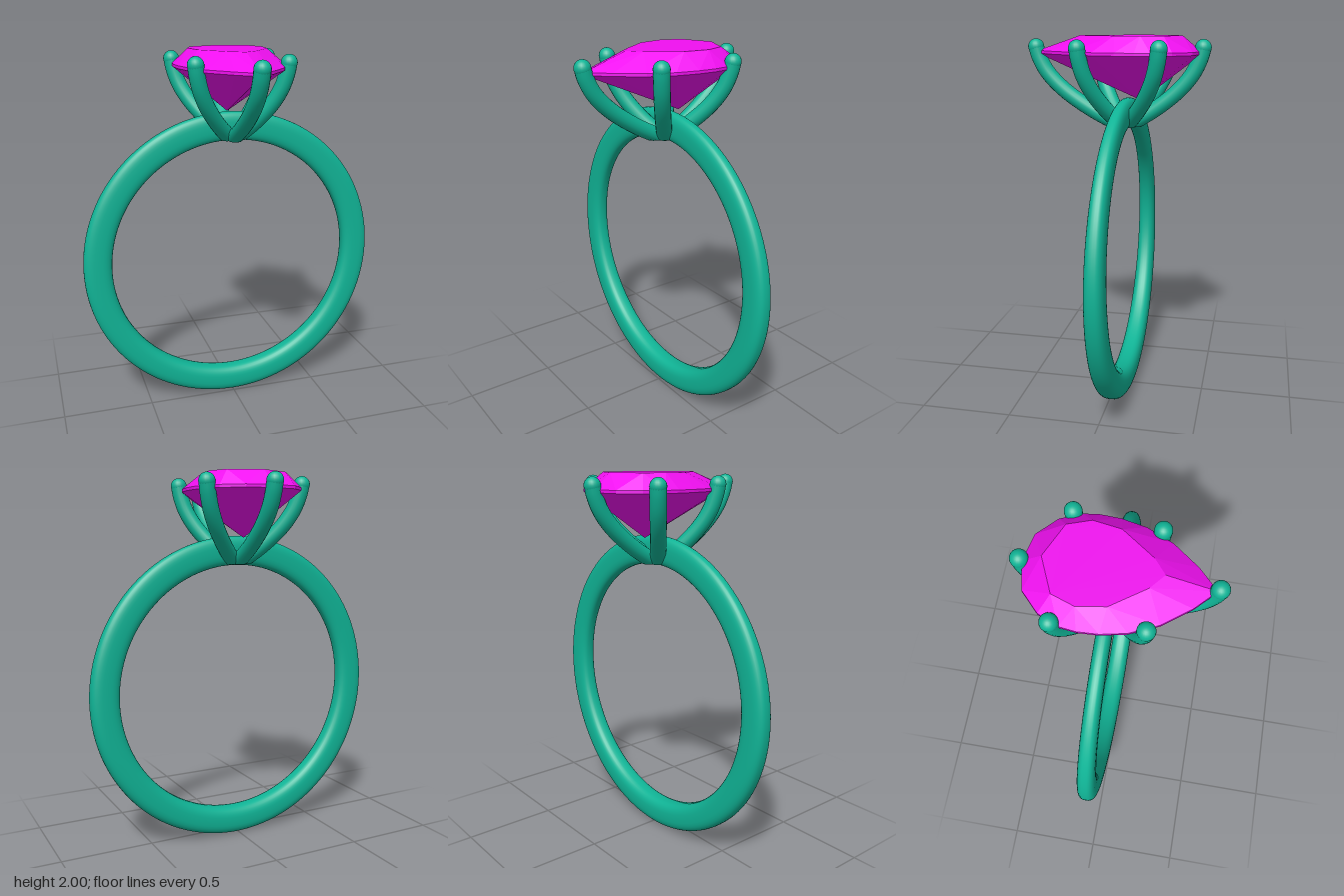
import * as THREE from 'three';
import { mergeVertices } from 'three/addons/utils/BufferGeometryUtils.js';
import { ConvexGeometry } from 'three/addons/geometries/ConvexGeometry.js';

const BASE_Y = 1.525;
const metal = new THREE.MeshStandardMaterial({ color: 0x10b496 });
const stone = new THREE.MeshStandardMaterial({ color: 0xf010f0, flatShading: true });

function addMesh(parent, name, geometry, material) {
  const mesh = new THREE.Mesh(geometry, material);
  mesh.name = name;
  parent.add(mesh);
  return mesh;
}

function smoothed(geometry) {
  geometry.deleteAttribute('uv');
  geometry.deleteAttribute('normal');
  const merged = mergeVertices(geometry, 1e-5);
  merged.computeVertexNormals();
  return merged;
}

// Band: a torus with a softly squared section that narrows toward the top
function bandGeometry() {
  const R = 0.758, r = 0.077, cy = 0.84;
  const geometry = new THREE.TorusGeometry(R, r, 32, 128);
  const p = geometry.attributes.position;
  const soften = (v) => Math.sign(v) * Math.pow(Math.abs(v), 0.75);
  for (let i = 0; i < p.count; i++) {
    const x = p.getX(i), y = p.getY(i), z = p.getZ(i);
    const d = Math.hypot(x, y);
    const radius = R + r * soften((d - R) / r);
    const halfWidth = 0.05 - 0.011 * (y / d);
    p.setXYZ(i, (x / d) * radius, cy + (y / d) * radius, -0.048 + halfWidth * soften(z / r));
  }
  return smoothed(geometry);
}

// Prong: a tube curving up from the shared foot, trimmed flat underneath
function prongGeometry(tipX, tipZ) {
  const footZ = -0.04;
  const profile = [[0, 1.52], [0.4, 1.62], [0.7, 1.72], [0.88, 1.81], [0.97, 1.89], [1, 1.94]];
  const points = profile.map(([t, y]) =>
    new THREE.Vector3(tipX * t, y, footZ + (tipZ - footZ) * t));
  const geometry = new THREE.TubeGeometry(new THREE.CatmullRomCurve3(points), 40, 0.042, 18);
  const p = geometry.attributes.position;
  for (let i = 0; i < p.count; i++) p.setY(i, Math.max(p.getY(i), BASE_Y));
  return smoothed(geometry);
}

// Pear-cut stone: culet, thin girdle and flat table
function stoneGeometry() {
  const half = [[0, -0.44], [0.14, -0.41], [0.235, -0.32], [0.28, -0.22], [0.29, -0.14],
    [0.285, -0.04], [0.26, 0.08], [0.2, 0.21], [0.1, 0.34], [0, 0.435]];
  const points = [new THREE.Vector3(0, 1.665, -0.13)];
  half.forEach(([x, z], i) => {
    for (const side of [-1, 1]) {
      points.push(new THREE.Vector3(side * x, 1.905, z));
      points.push(new THREE.Vector3(side * x, 1.92, z));
      // The table has half as many corners as the girdle
      if (i % 2 === 0 || i === half.length - 1) {
        points.push(new THREE.Vector3(side * x * 0.72, 2, -0.07 + z * 0.62));
      }
    }
  });
  return new ConvexGeometry(points);
}

export function createModel() {
  const ring = new THREE.Group();
  ring.name = 'ring';

  addMesh(ring, 'band', bandGeometry(), metal);
  addMesh(ring, 'stone', stoneGeometry(), stone);

  // Six prongs, each with a round tip
  const setting = new THREE.Group();
  setting.name = 'setting';
  ring.add(setting);
  const tips = [[0, -0.45], [0, 0.445]];
  for (const side of [-1, 1]) tips.push([side * 0.275, -0.26], [side * 0.245, 0.157]);
  for (const [x, z] of tips) {
    const prong = new THREE.Group();
    prong.name = 'prong';
    addMesh(prong, 'prongStem', prongGeometry(x, z), metal);
    addMesh(prong, 'prongTip', new THREE.SphereGeometry(0.043, 20, 14), metal).position.set(x, 1.94, z);
    setting.add(prong);
  }

  // Flat foot closing the underside where the prongs meet
  const foot = addMesh(setting, 'prongFoot', new THREE.CylinderGeometry(0.042, 0.042, 0.03, 24), metal);
  foot.position.set(0, BASE_Y + 0.015, -0.04);
  foot.scale.z = 2;

  return ring;
}
